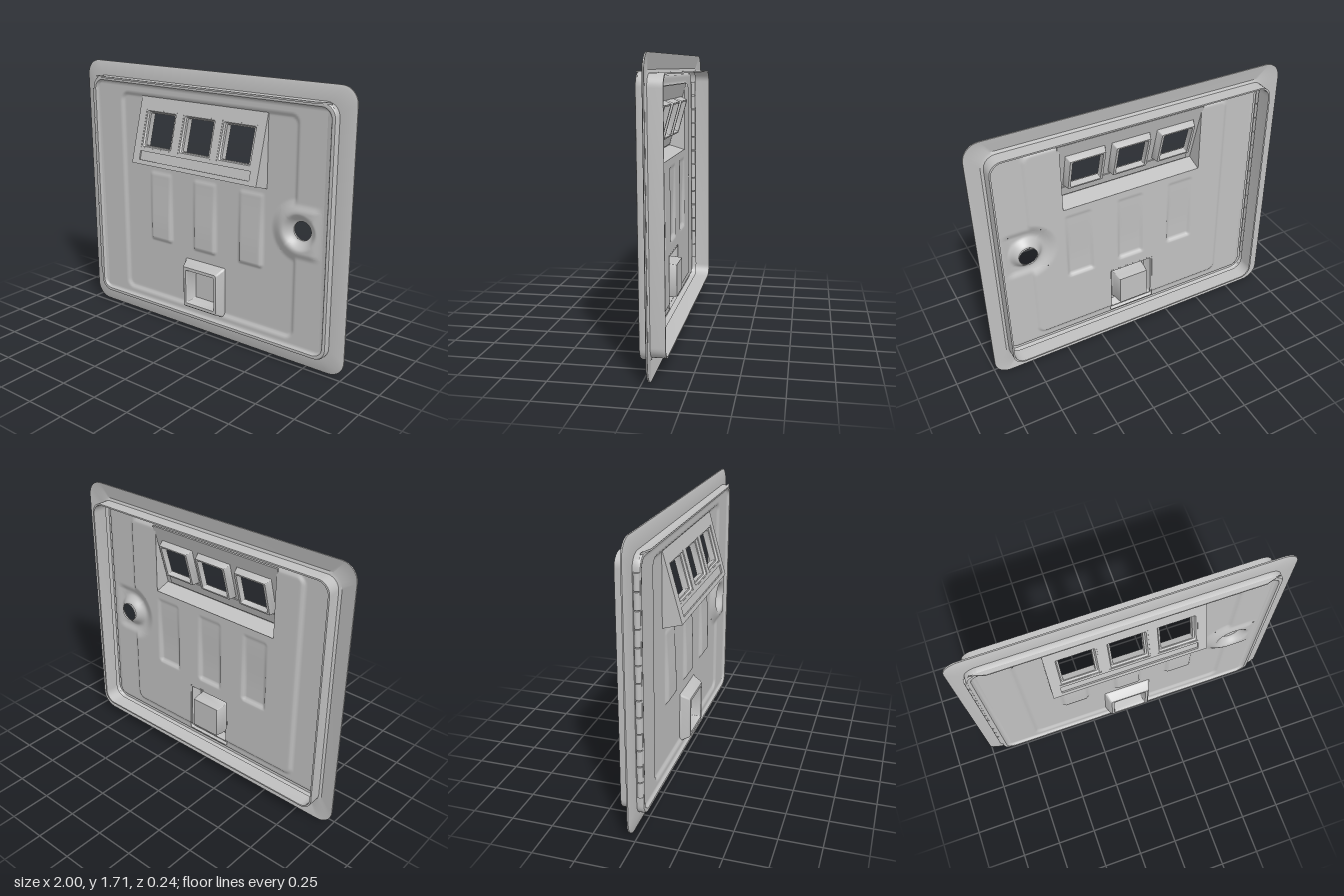
import * as THREE from 'three';
import { toCreasedNormals } from 'three/addons/utils/BufferGeometryUtils.js';

const metal = new THREE.MeshStandardMaterial({ color: 0xc0c0c0, side: THREE.DoubleSide });
metal.name = 'greyMetal';

const MID = 0.855; // height of the centre; all parts below use y measured from here

function add(parent, name, geometry, x = 0, y = 0, z = 0) {
  const mesh = new THREE.Mesh(geometry, metal);
  mesh.name = name;
  mesh.position.set(x, y, z);
  parent.add(mesh);
  return mesh;
}

function meshFrom(positions, index) {
  const g = new THREE.BufferGeometry();
  g.setAttribute('position', new THREE.Float32BufferAttribute(positions, 3));
  g.setIndex(index);
  g.computeVertexNormals();
  return g;
}

// Skin through rounded rectangles, each [halfWidth, halfHeight, radius, z]
function loft(rings, closed = false) {
  const pos = [], idx = [], per = 8, n = per * 4;
  for (const [w, h, r, z] of rings) {
    for (let c = 0; c < 4; c++) {
      const sx = c === 0 || c === 3 ? 1 : -1, sy = c < 2 ? 1 : -1;
      for (let k = 0; k < per; k++) {
        const a = (c + k / (per - 1)) * Math.PI / 2;
        pos.push(sx * (w - r) + r * Math.cos(a), sy * (h - r) + r * Math.sin(a), z);
      }
    }
  }
  const spans = closed ? rings.length : rings.length - 1;
  for (let i = 0; i < spans; i++) {
    const p = i * n, q = ((i + 1) % rings.length) * n;
    for (let j = 0; j < n; j++) {
      const k = (j + 1) % n;
      idx.push(p + j, p + k, q + k, p + j, q + k, q + j);
    }
  }
  return toCreasedNormals(meshFrom(pos, idx), 0.6);
}

const smooth = THREE.MathUtils.smoothstep;

// Signed distance to a rounded rectangle
function boxDistance(x, y, w, h, r) {
  const dx = Math.abs(x) - w + r, dy = Math.abs(y) - h + r;
  return Math.hypot(Math.max(dx, 0), Math.max(dy, 0)) + Math.min(Math.max(dx, dy), 0) - r;
}

const LOCK_X = 0.7;

// Pressed relief of the door sheet
function relief(x, y) {
  const r = Math.hypot(x - LOCK_X, y);
  const capsule = Math.hypot(Math.min(x - LOCK_X, 0), y);
  const fade = 1 - smooth(x, 0.78, 0.85);
  const boss = 1 - smooth(capsule, 0.15, 0.2);
  const recess = 1 - smooth(boxDistance(x - 0.005, y + 0.005, 0.675, 0.685, 0.06), -0.025, 0);
  let z = 0.012 - 0.014 * recess * (1 - boss);
  z += 0.014 * fade * (1 - smooth(capsule, 0.12, 0.17));
  z -= 0.045 * (1 - smooth(r, 0.055, 0.115));
  for (const sx of [-0.35, 0.005, 0.355]) {
    const d = boxDistance(x - sx, y + 0.055, 0.09, 0.235, 0.02);
    z += (0.018 - 0.012 * smooth(y, -0.2, 0.18)) * (1 - smooth(d, -0.02, 0.003));
  }
  return z;
}

// Openings in the sheet, in hundredths: [x0, x1, y0, y1]
const openings = [[-48, 45, 23, 66], [-14, 15, -68, -37], [56, 84, -14, 14]];

function doorSheet() {
  const pos = [], idx = [], W = 85, H = 71, row = 2 * W + 1;
  for (let j = -H; j <= H; j++) {
    for (let i = -W; i <= W; i++) pos.push(i / 100, j / 100, relief(i / 100, j / 100));
  }
  for (let j = -H; j < H; j++) {
    for (let i = -W; i < W; i++) {
      if (openings.some(([a, b, c, d]) => i >= a && i < b && j >= c && j < d)) continue;
      const p = (j + H) * row + i + W;
      idx.push(p, p + 1, p + row + 1, p, p + row + 1, p + row);
    }
  }
  return meshFrom(pos, idx);
}

// Round dish that fills the square opening around the lock hole
function lockDish() {
  const pos = [], idx = [], n = 64, m = 14;
  for (let i = 0; i <= m; i++) {
    for (let j = 0; j < n; j++) {
      const a = j / n * Math.PI * 2, c = Math.cos(a), s = Math.sin(a);
      const edge = 0.14 / Math.max(Math.abs(c), Math.abs(s));
      const r = edge + (0.058 - edge) * i / m;
      pos.push(LOCK_X + r * c, r * s, relief(LOCK_X + r * c, r * s));
    }
  }
  for (let i = 0; i < m; i++) {
    for (let j = 0; j < n; j++) {
      const k = (j + 1) % n, p = i * n, q = p + n;
      idx.push(p + j, p + k, q + k, p + j, q + k, q + j);
    }
  }
  return meshFrom(pos, idx);
}

function rectPath(PathType, x0, x1, y0, y1) {
  return new PathType([[x0, y0], [x1, y0], [x1, y1], [x0, y1]].map(p => new THREE.Vector2(...p)));
}

// Sloping housing with three windows and a slot
function windowHousing() {
  const g = new THREE.Group();
  g.name = 'windowHousing';
  const top = [0.675, -0.002], lip = [0.25, 0.117], foot = [0.215, 0.0];
  const tilt = Math.atan2(lip[1] - top[1], top[0] - lip[0]);
  const len = Math.hypot(lip[1] - top[1], top[0] - lip[0]);

  // Face plate lies in its own tilted frame, starting at the lip
  const face = new THREE.Group();
  face.name = 'housingFace';
  face.position.set(0, lip[0], lip[1]);
  face.rotation.x = -tilt;
  g.add(face);
  const plate = rectPath(THREE.Shape, -0.49, 0.465, 0, len);
  const windows = [-0.31, -0.01, 0.285], wy = 0.228;
  for (const x of windows) plate.holes.push(rectPath(THREE.Path, x - 0.125, x + 0.125, wy - 0.122, wy + 0.122));
  plate.holes.push(rectPath(THREE.Path, -0.435, 0.41, 0.028, 0.084));
  add(face, 'facePlate', new THREE.ExtrudeGeometry(plate, { depth: 0.01, bevelEnabled: false }), 0, 0, -0.01);
  add(face, 'slotFloor', new THREE.BoxGeometry(0.86, 0.07, 0.006), -0.0125, 0.056, -0.013);
  const bezel = loft([
    [0.125, 0.122, 0.008, -0.002], [0.115, 0.114, 0.008, -0.002], [0.108, 0.108, 0.008, -0.014],
    [0.097, 0.102, 0.005, -0.016], [0.097, 0.104, 0.005, -0.055],
    [0.112, 0.114, 0.005, -0.055], [0.125, 0.122, 0.008, -0.012],
  ], true);
  for (const x of windows) add(face, 'windowBezel', bezel, x, wy, 0);

  // Side cheeks and underside, drawn in (z, y) and turned to run along x
  const cheek = new THREE.Shape([top, lip, foot].map(([y, z]) => new THREE.Vector2(-z, y)));
  const cheekGeo = new THREE.ExtrudeGeometry(cheek, { depth: 0.01, bevelEnabled: false }).rotateY(Math.PI / 2);
  add(g, 'sideCheek', cheekGeo, -0.49);
  add(g, 'sideCheek', cheekGeo, 0.455);
  const under = new THREE.Shape([lip, foot, [foot[0] + 0.01, foot[1]], [lip[0] + 0.01, lip[1] - 0.005]]
    .map(([y, z]) => new THREE.Vector2(-z, y)));
  add(g, 'underside', new THREE.ExtrudeGeometry(under, { depth: 0.955, bevelEnabled: false })
    .rotateY(Math.PI / 2), -0.49);
  return g;
}

// Return cup with a recessed flap
function returnCup() {
  const g = new THREE.Group();
  g.name = 'returnCup';
  g.position.set(0.005, -0.53, 0);
  add(g, 'cupSurround', loft([
    [0.158, 0.172, 0.01, -0.004], [0.15, 0.16, 0.012, 0.012], [0.138, 0.142, 0.012, 0.05],
    [0.128, 0.134, 0.012, 0.06], [0.112, 0.114, 0.006, 0.06], [0.106, 0.108, 0.005, 0.045],
    [0.104, 0.106, 0.005, 0], [0.098, 0.1, 0.005, -0.04],
  ]));
  add(g, 'returnFlap', new THREE.BoxGeometry(0.196, 0.2, 0.012), 0, 0, -0.034);
  return g;
}

export function createModel() {
  const root = new THREE.Group();
  root.name = 'accessDoor';
  const body = new THREE.Group();
  body.name = 'doorAssembly';
  body.position.y = MID;
  body.rotation.x = 0.008;
  root.add(body);

  // Wall frame: sloping flange and a box running back
  add(body, 'frame', loft([
    [1, 0.855, 0.1, -0.03], [0.985, 0.84, 0.095, -0.024], [0.91, 0.768, 0.08, -0.013],
    [0.885, 0.743, 0.07, -0.014], [0.885, 0.743, 0.07, -0.113], [0.895, 0.752, 0.075, -0.113],
    [0.895, 0.752, 0.075, -0.03], [0.91, 0.768, 0.08, -0.022], [1, 0.855, 0.1, -0.038],
  ], true));

  // Door: rolled rim, pressed sheet, lock dish
  add(body, 'doorRim', loft([
    [0.907, 0.762, 0.08, -0.015], [0.907, 0.762, 0.08, 0.018], [0.902, 0.757, 0.078, 0.027],
    [0.893, 0.748, 0.072, 0.03], [0.883, 0.738, 0.064, 0.028], [0.873, 0.728, 0.056, 0.014],
    [0.868, 0.724, 0.05, 0.012], [0.85, 0.71, 0.001, 0.012],
  ]));
  add(body, 'doorSheet', doorSheet());
  add(body, 'lockDish', lockDish());
  add(body, 'lockHoleWall', new THREE.CylinderGeometry(0.058, 0.058, 0.012, 40, 1, true)
    .rotateX(Math.PI / 2), LOCK_X, 0, relief(LOCK_X + 0.058, 0) - 0.006);

  // Drip lip along the top edge
  const lip = new THREE.Shape([[-0.88, -0.02], [0.88, -0.02], [0.79, -0.046], [-0.79, -0.046]]
    .map(p => new THREE.Vector2(...p)));
  add(body, 'dripLip', new THREE.ExtrudeGeometry(lip, { depth: 0.01, bevelEnabled: false })
    .rotateX(-Math.PI / 2), 0, 0.753, 0);

  // Hinge knuckles down the left-hand edge
  const knuckle = new THREE.CylinderGeometry(0.018, 0.018, 0.094, 16);
  for (let i = 0; i < 13; i++) add(body, 'hingeKnuckle', knuckle, -0.903, -0.575 + i * 0.1, 0.008);

  body.add(windowHousing(), returnCup());
  return root;
}
